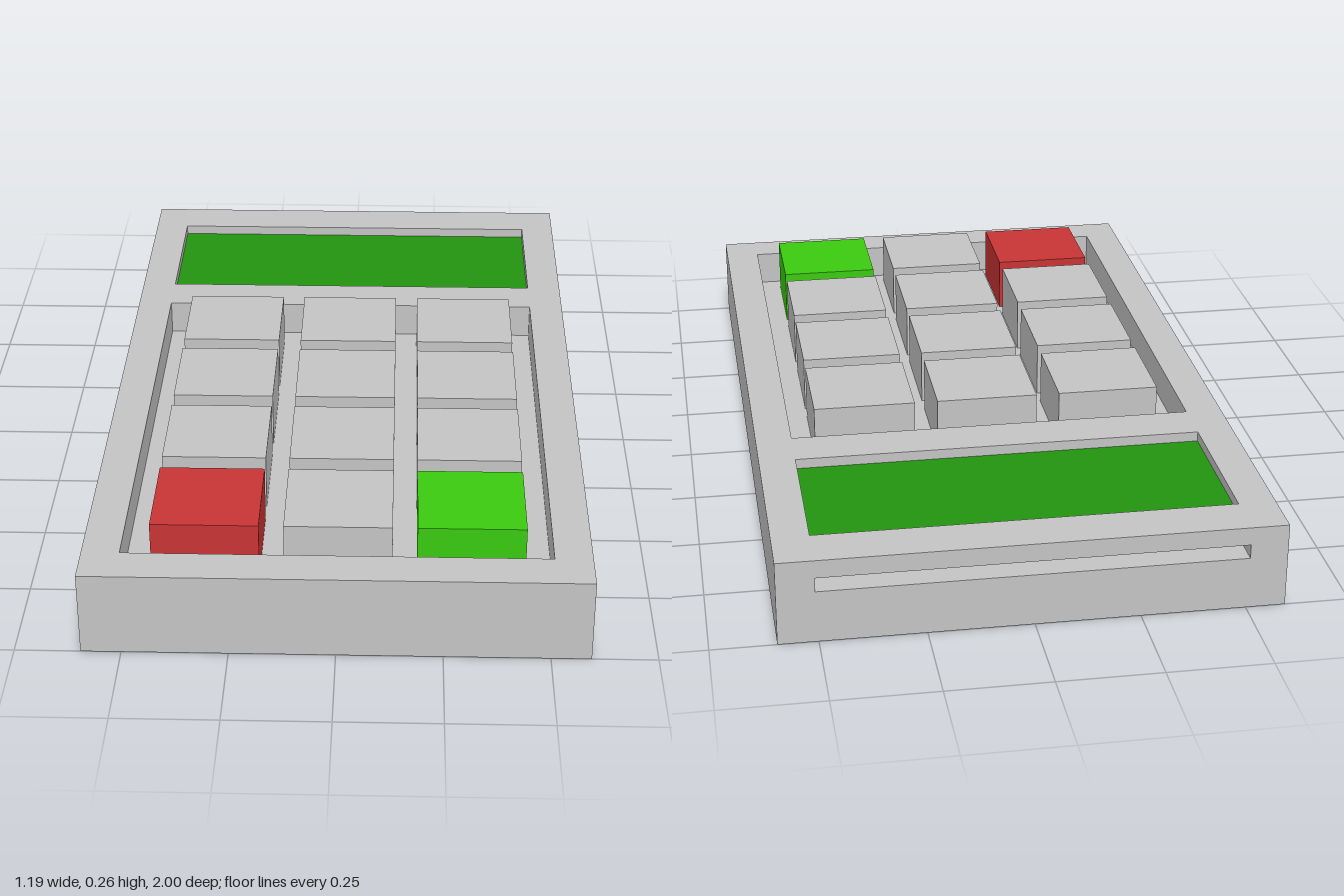
import * as THREE from 'three';

const W = 1.19, H = 0.21, L = 2;
const FACES = ['+x', '-x', '+y', '-y', '+z', '-z'];

// Closed path around a rectangle
function rect(PathType, x0, x1, y0, y1) {
  const p = new PathType();
  p.moveTo(x0, y0); p.lineTo(x1, y0); p.lineTo(x1, y1); p.lineTo(x0, y1);
  p.closePath();
  return p;
}

// Box from min/max corners with some faces left out; inward turns it into a pocket lining
function openBox([x0, y0, z0], [x1, y1, z1], omit = [], inward = false) {
  const g = new THREE.BoxGeometry(x1 - x0, y1 - y0, z1 - z0);
  g.translate((x0 + x1) / 2, (y0 + y1) / 2, (z0 + z1) / 2);
  let index = Array.from(g.index.array).filter((_, i) => !omit.includes(FACES[Math.floor(i / 6)]));
  if (inward) index = index.reverse();
  g.setIndex(index);
  g.clearGroups();
  g.computeVertexNormals();
  return g;
}

export function createModel() {
  const group = new THREE.Group();
  group.name = 'cardTerminal';

  const material = (name, color) => {
    const m = new THREE.MeshStandardMaterial({ color });
    m.name = name;
    return m;
  };
  const grey = material('casing grey', 0xc4c4c4);
  const screenGreen = material('screen green', 0x22940f);
  const red = material('cancel red', 0xc83434);
  const green = material('confirm green', 0x3aca10);

  const add = (name, geometry, mat, parent = group) => {
    const mesh = new THREE.Mesh(geometry, mat);
    mesh.name = name;
    parent.add(mesh);
    return mesh;
  };

  // Casing: sides, front and underside
  const casing = new THREE.Group();
  casing.name = 'casing';
  group.add(casing);
  add('casingSides', openBox([-W / 2, 0, -L / 2], [W / 2, H, L / 2], ['+y', '-z']), grey, casing);

  // Top panel with openings for screen and keypad
  const top = rect(THREE.Shape, -W / 2, W / 2, -L / 2, L / 2);
  top.holes.push(rect(THREE.Path, -0.505, 0.505, 0.49, 0.88));
  top.holes.push(rect(THREE.Path, -0.505, 0.505, -0.9, 0.37));
  add('topPanel', new THREE.ShapeGeometry(top).rotateX(-Math.PI / 2).translate(0, H, 0), grey, casing);

  // Back panel with card slot opening
  const back = rect(THREE.Shape, -W / 2, W / 2, 0, H);
  back.holes.push(rect(THREE.Path, -0.505, 0.505, 0.13, 0.165));
  add('backPanel', new THREE.ShapeGeometry(back).rotateY(Math.PI).translate(0, 0, -L / 2), grey, casing);

  // Recess linings
  const floor = 0.12;
  add('screenRecess', openBox([-0.505, 0.18, -0.88], [0.505, H, -0.49], ['+y'], true), grey, casing);
  add('keypadRecess', openBox([-0.505, floor, -0.37], [0.505, H, 0.9], ['+y'], true), grey, casing);
  add('cardSlot', openBox([-0.505, 0.13, -1], [0.505, 0.165, -0.7], ['-z'], true), grey, casing);

  // Screen plate
  add('screen', openBox([-0.505, 0.18, -0.88], [0.505, 0.185, -0.49]), screenGreen);

  // Keys, four rows of three
  const keypad = new THREE.Group();
  keypad.name = 'keypad';
  group.add(keypad);
  const size = 0.255, keyTop = 0.26;
  for (let row = 0; row < 4; row++) {
    for (let col = 0; col < 3; col++) {
      const last = row === 3;
      const mat = last && col === 0 ? red : last && col === 2 ? green : grey;
      const name = mat === red ? 'cancelKey' : mat === green ? 'confirmKey' : 'key';
      const key = add(name, new THREE.BoxGeometry(size, keyTop - floor, size), mat, keypad);
      key.position.set(0.002 + (col - 1) * 0.313, (keyTop + floor) / 2, -0.19 + row * 0.306);
    }
  }
  return group;
}
